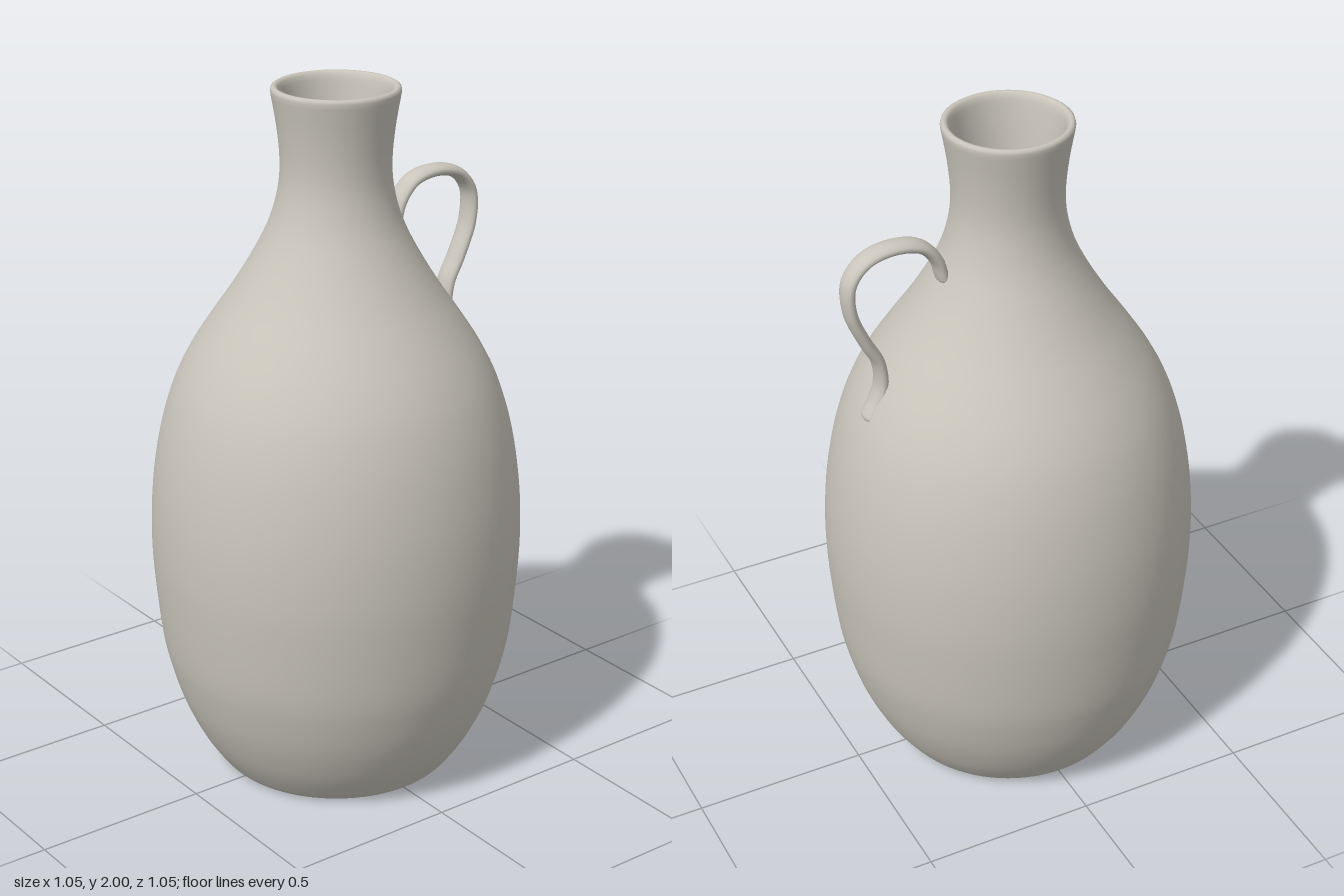
import * as THREE from 'three';

const vec2 = (list) => list.map(([x, y]) => new THREE.Vector2(x, y));
const smooth = (list, n) => new THREE.SplineCurve(vec2(list)).getPoints(n);

export function createModel() {
  const model = new THREE.Group();
  const clay = new THREE.MeshStandardMaterial({ color: 0xc9c5bb });
  clay.name = 'warm grey clay';

  const add = (name, geometry, parent = model) => {
    const mesh = new THREE.Mesh(geometry, clay);
    mesh.name = name;
    parent.add(mesh);
    return mesh;
  };

  // Underside: recessed disc inside a rounded foot ring
  const foot = vec2([[0, 0.025], [0.27, 0.025], [0.28, 0.025], [0.287, 0.02], [0.295, 0.008], [0.305, 0.001], [0.32, 0]]);

  // Outer wall from the foot to the flared lip
  const outer = smooth([
    [0.332, 0.004], [0.352, 0.025], [0.402, 0.1], [0.449, 0.2], [0.481, 0.3], [0.503, 0.4], [0.52, 0.56],
    [0.527, 0.7], [0.52, 0.86], [0.495, 1.02], [0.457, 1.15], [0.41, 1.25], [0.35, 1.345], [0.285, 1.44],
    [0.225, 1.54], [0.182, 1.63], [0.158, 1.72], [0.153, 1.8], [0.161, 1.89], [0.175, 1.975],
  ], 76);

  // Rounded rim, then the inner wall down to the floor
  const rim = vec2([[0.177, 1.988], [0.175, 1.996], [0.169, 2], [0.162, 1.999], [0.156, 1.993]]);
  const inner = smooth([
    [0.152, 1.98], [0.14, 1.9], [0.131, 1.8], [0.135, 1.72], [0.16, 1.62], [0.203, 1.53], [0.262, 1.43],
    [0.328, 1.33], [0.387, 1.24], [0.434, 1.14], [0.472, 1.01], [0.497, 0.86], [0.503, 0.7], [0.496, 0.56],
    [0.479, 0.4], [0.425, 0.2], [0.36, 0.09], [0.31, 0.06],
  ], 60);
  const floor = vec2([[0.3, 0.055], [0, 0.055]]);
  add('bottle', new THREE.LatheGeometry([...foot, ...outer, ...rim, ...inner, ...floor], 80));

  // Handle: a round tube stretched in z into a flat strap
  const handle = new THREE.Group();
  handle.name = 'handle';
  handle.scale.z = 1.95;
  model.add(handle);
  const radius = 0.0175;
  const path = new THREE.CatmullRomCurve3([
    [0.198, 1.585], [0.215, 1.64], [0.26, 1.69], [0.34, 1.707], [0.42, 1.687], [0.466, 1.63], [0.466, 1.54],
    [0.427, 1.44], [0.392, 1.37], [0.385, 1.3], [0.402, 1.245], [0.424, 1.205],
  ].map(([x, y]) => new THREE.Vector3(x, y, 0)));
  add('handleStrap', new THREE.TubeGeometry(path, 80, radius, 16), handle);
  for (const t of [0, 1]) {
    add('handleEnd', new THREE.SphereGeometry(radius, 16, 12), handle).position.copy(path.getPoint(t));
  }

  return model;
}
